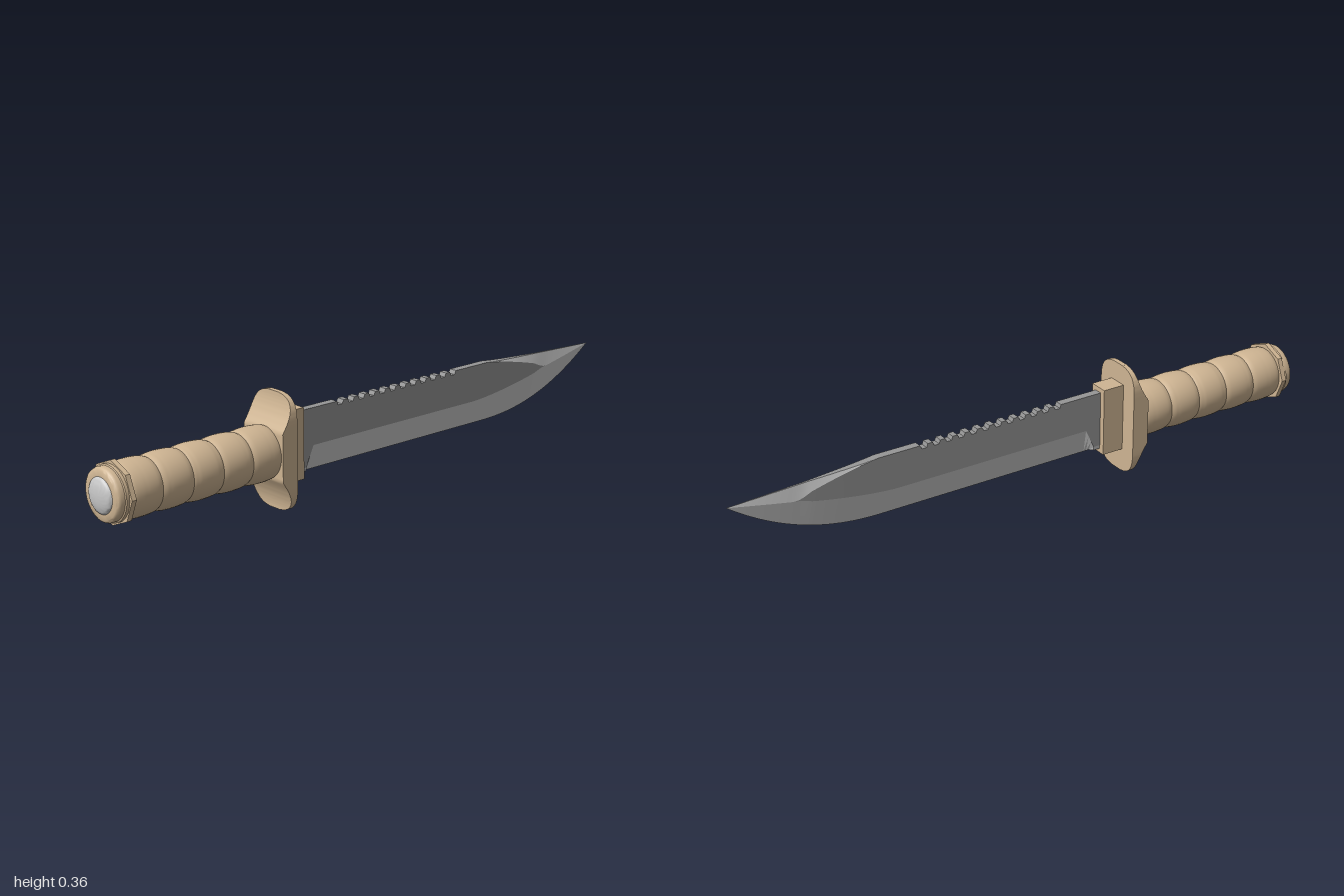
import * as THREE from 'three';
import { toCreasedNormals } from 'three/addons/utils/BufferGeometryUtils.js';

const AXIS = 0.184; // height of the handle axis
const tan = new THREE.MeshStandardMaterial({ color: 0xcfb593 });
const silver = new THREE.MeshStandardMaterial({ color: 0xc8c8c8 });
const steel = new THREE.MeshStandardMaterial({ color: 0x969696 });
tan.name = 'tan';
silver.name = 'silver';
steel.name = 'dark steel';

function add(group, name, geometry, material) {
  const mesh = new THREE.Mesh(geometry, material);
  mesh.name = name;
  group.add(mesh);
  return mesh;
}

// Turned part along z; points are [radius, z]
function turned(points, segments = 40, crease = 0.7) {
  const g = new THREE.LatheGeometry(points.map(([r, z]) => new THREE.Vector2(r, z)), segments);
  g.rotateX(Math.PI / 2).translate(0, AXIS, 0);
  return toCreasedNormals(g, crease);
}

// Guard: rounded plate whose front swells towards the grip
function guardGeometry() {
  const g = new THREE.BoxGeometry(2, 2, 1, 8, 60, 1);
  const p = g.attributes.position;
  for (let i = 0; i < p.count; i++) {
    // space rows closely near the rounded ends
    const v = Math.sin(p.getY(i) * Math.PI / 2);
    const d = Math.abs(v) * 0.181;
    const t = Math.min(1, Math.max(0, (d - 0.09) / 0.091));
    const width = 0.088 * Math.cbrt(Math.max(0.02, 1 - t ** 3));
    const s = Math.max(0, (d - 0.075) / 0.106);
    const front = 0.362 + 0.04 * (1 - s) ** 2;
    p.setXYZ(i, p.getX(i) * width, 0.182 + v * 0.181, p.getZ(i) > 0 ? front : 0.346);
  }
  return toCreasedNormals(g, 0.6);
}

// Cross-section of the blade at z: eight points, up the +x side and down the -x side
function bladeSection(z, notch) {
  const ramp = (from, to) => Math.min(1, Math.max(0, (from - z) / (from - to)));
  const { lerp } = THREE.MathUtils;
  const edge = 0.092 + 0.168 * ramp(-0.5, -1) ** 2.2;
  const spine = 0.285 - 0.025 * ramp(-0.52, -1) ** 0.7 - notch;
  let grind = lerp(0.104, 0.168, ramp(0.25, 0.22)) + 0.052 * ramp(-0.45, -0.79) ** 1.5;
  let flatTop = spine - 0.044 * ramp(-0.52, -0.79) ** 1.6;
  const merge = ramp(-0.74, -0.79);
  flatTop = lerp(flatTop, 0.222, merge);
  grind = Math.min(lerp(grind, 0.222, merge), flatTop);
  const tip = ramp(-0.79, -1);
  flatTop = lerp(flatTop, 0.26, tip);
  grind = lerp(grind, 0.26, tip);
  const half = 0.013 * (1 - ramp(-0.65, -1) ** 2) + 0.0003;
  const edgeHalf = lerp(0.012, 0.0006, ramp(0.25, 0.24)) * (1 - tip) + 0.0002;
  const spineHalf = half * (1 - 0.75 * ramp(-0.52, -0.75));
  const side = [[edgeHalf, edge], [half, grind], [half, flatTop], [spineHalf, spine]];
  return [...side, ...side.map(([x, y]) => [-x, y]).reverse()].map(([x, y]) => [x, y, z]);
}

// Joins the chosen bands of neighbouring sections
function loft(sections, bands) {
  const out = [];
  for (let i = 0; i + 1 < sections.length; i++) {
    for (const k of bands) {
      const n = (k + 1) % 8;
      const a = sections[i][k], b = sections[i][n];
      const c = sections[i + 1][n], d = sections[i + 1][k];
      out.push(...a, ...d, ...c, ...a, ...c, ...b);
    }
  }
  const g = new THREE.BufferGeometry();
  g.setAttribute('position', new THREE.Float32BufferAttribute(out, 3));
  g.computeVertexNormals();
  return toCreasedNormals(g, 0.25);
}

export function createModel() {
  const model = new THREE.Group();
  model.name = 'knife';

  // Grip with five soft swells
  const grip = [[0.079, 0.385]];
  for (let i = 0; i <= 60; i++) {
    grip.push([0.0785 + 0.0075 * Math.sqrt(Math.abs(Math.sin(i / 60 * Math.PI * 5))), 0.395 + 0.54 * i / 60]);
  }
  add(model, 'grip', turned(grip), tan);

  // Octagonal collar, end cap and domed button
  const ring = new THREE.CylinderGeometry(0.096, 0.096, 0.016, 8);
  ring.rotateX(Math.PI / 2).translate(0, AXIS, 0.94);
  add(model, 'octagonCollar', toCreasedNormals(ring, 0.3), tan);
  add(model, 'endCap', turned([
    [0.085, 0.945], [0.085, 0.958], [0.081, 0.96], [0.081, 0.972],
    [0.078, 0.98], [0.072, 0.984], [0.054, 0.984], [0.054, 0.975],
  ]), tan);
  const dome = [];
  for (let i = 0; i <= 8; i++) {
    const a = i / 8 * Math.PI / 2;
    dome.push([0.055 * Math.cos(a), 0.982 + 0.018 * Math.sin(a)]);
  }
  add(model, 'pommelButton', turned(dome, 40, 1), silver);

  // Guard and the block that holds the blade
  add(model, 'guard', guardGeometry(), tan);
  add(model, 'bladeSocket', new THREE.BoxGeometry(0.064, 0.222, 0.078), tan).position.set(0, 0.189, 0.312);

  // Blade stations from socket to tip, with saw notches along the spine
  const stations = [[0.29, 0], [0.25, 0], [0.24, 0], [0.23, 0], [0.22, 0]];
  const pitch = 0.043;
  for (let i = 0; i < 12; i++) {
    const z = 0.125 - i * pitch;
    stations.push([z, 0], [z - 0.004, 0.012], [z - 0.02, 0.012], [z - 0.026, 0]);
  }
  for (let i = 0; i <= 40; i++) stations.push([-0.41 - 0.59 * i / 40, 0]);
  const sections = stations.map(([z, notch]) => bladeSection(z, notch));
  add(model, 'bladeFlats', loft(sections, [1, 3, 5]), steel);
  add(model, 'bladeBevels', loft(sections, [0, 2, 4, 6, 7]), silver);

  return model;
}
